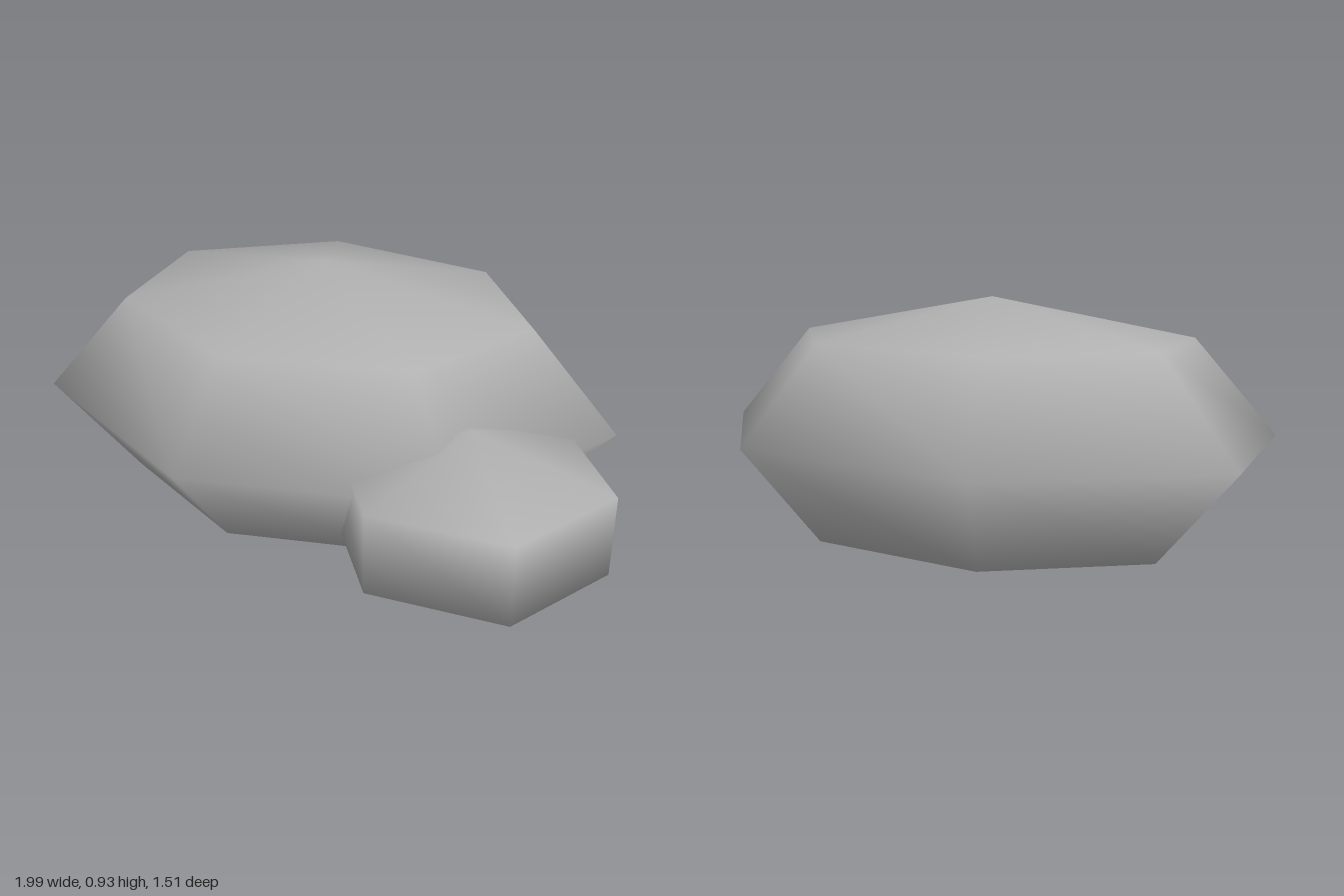
import * as THREE from 'three';

export function createModel() {
  const group = new THREE.Group();
  const stone = new THREE.MeshStandardMaterial({ color: 0xb0b0b0 });
  stone.name = 'stone grey';

  // A boulder is a coarse, smooth-shaded sphere stretched to its radii
  function addRock(name, sides, rings, radii, position) {
    const rock = new THREE.Mesh(new THREE.SphereGeometry(1, sides, rings), stone);
    rock.name = name;
    rock.scale.set(...radii);
    rock.rotation.y = Math.PI; // first corner points to +x
    rock.position.set(...position);
    group.add(rock);
  }

  addRock('largeRock', 7, 4, [1.01, 0.466, 0.757], [-0.08, 0.468, -0.017]);
  addRock('smallRock', 6, 3, [0.514, 0.277, 0.46], [0.555, 0.363, 0.41]);

  return group;
}
